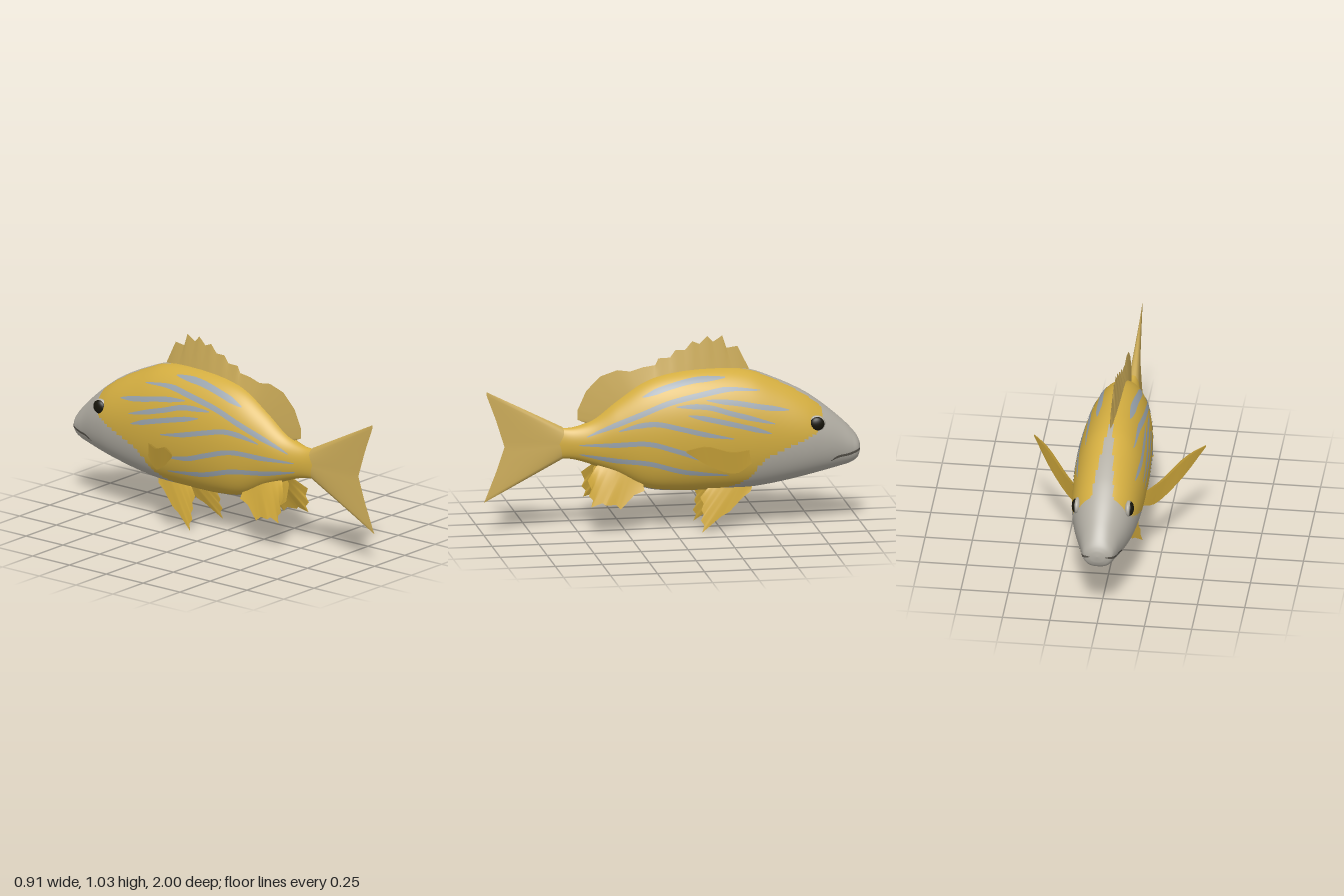
import * as THREE from 'three';

const mat = (name, color, side = THREE.FrontSide) => {
  const m = new THREE.MeshStandardMaterial({ color, side });
  m.name = name;
  return m;
};
const V = (x, y, z) => new THREE.Vector3(x, y, z);

// Body stations: z, top y, bottom y, half width (head at -z)
const STATIONS = [
  [-1, 0.43, 0.385, 0.03], [-0.985, 0.465, 0.35, 0.07], [-0.95, 0.51, 0.325, 0.088], [-0.9, 0.56, 0.31, 0.105],
  [-0.8, 0.645, 0.287, 0.142], [-0.7, 0.715, 0.265, 0.168], [-0.55, 0.79, 0.235, 0.184], [-0.4, 0.845, 0.215, 0.19],
  [-0.2, 0.86, 0.21, 0.188], [0, 0.845, 0.212, 0.174], [0.15, 0.8, 0.232, 0.15], [0.3, 0.7, 0.31, 0.112],
  [0.42, 0.605, 0.362, 0.075], [0.52, 0.568, 0.395, 0.048], [0.6, 0.568, 0.403, 0.03], [0.7, 0.59, 0.39, 0.012],
];

// Smooth interpolation of a table by its first column
function sample(table, t, col) {
  const n = table.length;
  let i = 0;
  while (i < n - 2 && t > table[i + 1][0]) i++;
  const slope = k => {
    const a = table[Math.max(k - 1, 0)], b = table[Math.min(k + 1, n - 1)];
    return (b[col] - a[col]) / (b[0] - a[0]);
  };
  const h = table[i + 1][0] - table[i][0];
  const u = THREE.MathUtils.clamp((t - table[i][0]) / h, 0, 1), u2 = u * u, u3 = u2 * u;
  return (2 * u3 - 3 * u2 + 1) * table[i][col] + (u3 - 2 * u2 + u) * h * slope(i)
    + (3 * u2 - 2 * u3) * table[i + 1][col] + (u3 - u2) * h * slope(i + 1);
}

// Half width of the flank at height fraction f; the belly is fuller than the back
const girth = f => Math.pow(2 * Math.sqrt(Math.max(f * (1 - f), 0)), f < 0.5 ? 0.75 : 1);
function flankX(z, y) {
  const top = sample(STATIONS, z, 1), bottom = sample(STATIONS, z, 2);
  return sample(STATIONS, z, 3) * girth((y - bottom) / (top - bottom));
}

// Edge between silver head and yellow flank: y, z
const HEAD_EDGE = [[0.2, -0.12], [0.24, -0.3], [0.3, -0.4], [0.36, -0.44], [0.41, -0.5], [0.45, -0.59], [0.49, -0.68], [0.53, -0.76], [0.6, -0.79], [0.7, -0.78], [0.9, -0.78]];

// True where the body is silver: head, forehead strip and belly
function isSilver(x, y, z) {
  if (z < sample(HEAD_EDGE, y, 1)) return true;
  if (z < -0.38 && y > 0.6 && Math.abs(x) < 0.055 * (-0.3 - z) / 0.45) return true;
  return z < 0.25 && y < 0.45 && Math.abs(x) < 0.06;
}

function bodyGeometry() {
  const NZ = 130, NR = 88, pos = [], faces = [[], []];
  for (let i = 0; i <= NZ; i++) {
    const z = -1 + 1.7 * Math.pow(i / NZ, 1.35);
    const top = sample(STATIONS, z, 1), bottom = sample(STATIONS, z, 2), w = sample(STATIONS, z, 3);
    for (let j = 0; j < NR; j++) {
      const a = j / NR * Math.PI * 2, f = (1 - Math.cos(a)) / 2;
      const x = Math.sign(Math.sin(a)) * w * girth(f), y = bottom + (top - bottom) * f;
      pos.push(i ? x : 0, i ? y : 0.41, z);
    }
  }
  for (let i = 0; i < NZ; i++) for (let j = 0; j < NR; j++) {
    const k = (j + 1) % NR, a = i * NR + j, b = i * NR + k, c = a + NR, d = b + NR;
    const mid = n => (pos[a * 3 + n] + pos[b * 3 + n] + pos[c * 3 + n] + pos[d * 3 + n]) / 4;
    faces[isSilver(mid(0), mid(1), mid(2)) ? 1 : 0].push(a, b, c, b, d, c);
  }
  const g = new THREE.BufferGeometry();
  g.setAttribute('position', new THREE.Float32BufferAttribute(pos, 3));
  g.setIndex(faces.flat());
  let start = 0;
  faces.forEach((f, m) => { g.addGroup(start, f.length, m); start += f.length; });
  g.computeVertexNormals();
  return g;
}

// Grid of quads from a point function p(u, v)
function sheet(p, nu, nv) {
  const pos = [], idx = [];
  for (let i = 0; i <= nu; i++) for (let j = 0; j <= nv; j++) pos.push(...p(i / nu, j / nv).toArray());
  for (let i = 0; i < nu; i++) for (let j = 0; j < nv; j++) {
    const a = i * (nv + 1) + j, c = a + nv + 1;
    idx.push(a, a + 1, c, a + 1, c + 1, c);
  }
  const g = new THREE.BufferGeometry();
  g.setAttribute('position', new THREE.Float32BufferAttribute(pos, 3));
  g.setIndex(idx);
  g.computeVertexNormals();
  return g;
}

// Painted band hugging the flank along (z, y) points, tapered at both ends
function bandGeometry(points, width, side) {
  const curve = new THREE.SplineCurve(points.map(p => new THREE.Vector2(...p)));
  return sheet((u, v) => {
    const p = curve.getPoint(u), t = curve.getTangent(u);
    const w = width * (v - 0.5) * Math.min(1, 0.15 + 4 * Math.min(u, 1 - u));
    const z = p.x - t.y * w, y = p.y + t.x * w;
    return V(side * (flankX(z, y) + 0.003), y, z);
  }, 32, 4);
}

// Position along a polyline, each segment taking an equal share of u
function along(points, u) {
  const s = u * (points.length - 1), i = Math.min(Math.floor(s), points.length - 2);
  return points[i].clone().lerp(points[i + 1], s - i);
}

// Closed fin between a root line and an outer edge, thinning towards every rim
function finGeometry(root, edge, thick, side = 1) {
  return [1, -1].map(face => sheet((u, v) => {
    const p = along(root, u).lerp(along(edge, u), v);
    const bulge = thick * (1 - v) * Math.sqrt(Math.max(Math.sin(Math.PI * u), 0));
    p.x = (p.x + face * bulge) * side;
    return p;
  }, (edge.length - 1) * 4, 6));
}

// Adds a notch between neighbouring tips
function spiny(tips, centre, depth) {
  return tips.flatMap((p, i) => i === tips.length - 1 ? [p]
    : [p, p.clone().lerp(tips[i + 1], 0.35).lerp(centre, depth)]);
}

export function createModel() {
  const yellow = mat('flank yellow', 0xd3ad40), silver = mat('head silver', 0xb1ada3);
  const black = mat('eye black', 0x17150b);
  const mouth = mat('mouth grey', 0x5a564e, THREE.DoubleSide);
  const blue = mat('stripe blue', 0x98a2ab, THREE.DoubleSide);
  const finYellow = mat('fin yellow', 0xd3ab3c, THREE.DoubleSide);
  const finTan = mat('fin tan', 0xcbab58, THREE.DoubleSide);

  const model = new THREE.Group();
  const add = (name, geo, m) => {
    const mesh = new THREE.Mesh(geo, m);
    mesh.name = name;
    model.add(mesh);
    return mesh;
  };
  const addFin = (name, m, ...args) => finGeometry(...args).forEach(g => add(name, g, m));

  add('body', bodyGeometry(), [yellow, silver]);

  // Flank stripes as (z, y) paths
  const stripes = [
    [[0.46, 0.525], [0.35, 0.575], [0.19, 0.645], [0.03, 0.71], [-0.16, 0.752], [-0.29, 0.77], [-0.45, 0.757]],
    [[0.17, 0.735], [0.05, 0.78], [-0.1, 0.815], [-0.27, 0.825]],
    [[-0.16, 0.72], [-0.32, 0.70], [-0.45, 0.675], [-0.6, 0.65]],
    [[0.0, 0.69], [-0.16, 0.685], [-0.3, 0.645], [-0.52, 0.585]],
    [[-0.06, 0.645], [-0.2, 0.615], [-0.36, 0.575], [-0.5, 0.535]],
    [[0.3, 0.56], [0.2, 0.59], [0.1, 0.6], [-0.02, 0.575], [-0.16, 0.54], [-0.3, 0.515]],
    [[0.5, 0.48], [0.33, 0.485], [0.15, 0.495], [0.0, 0.455], [-0.14, 0.41], [-0.3, 0.395]],
    [[0.5, 0.43], [0.32, 0.40], [0.14, 0.385], [-0.05, 0.335], [-0.28, 0.31]],
  ];

  for (const s of [1, -1]) {
    const label = s > 0 ? 'left' : 'right';
    stripes.forEach(p => add(label + 'Stripe', bandGeometry(p, 0.027, s), blue));
    add(label + 'Mouth', bandGeometry([[-0.83, 0.355], [-0.87, 0.376], [-0.93, 0.384], [-0.98, 0.4], [-0.997, 0.408]], 0.013, s), mouth);

    // Eye in a low rim
    const ball = new THREE.SphereGeometry(1, 20, 14);
    const rim = add(label + 'EyeRim', ball, silver);
    rim.position.set(s * 0.135, 0.567, -0.75);
    rim.scale.set(0.02, 0.043, 0.046);
    const eye = add(label + 'Eye', ball, black);
    eye.position.set(s * 0.144, 0.567, -0.75);
    eye.scale.set(0.02, 0.037, 0.039);

    // Pectoral fin swept back and out
    const upper = new THREE.CatmullRomCurve3([V(0.17, 0.45, -0.4), V(0.25, 0.457, -0.28), V(0.37, 0.522, -0.12), V(0.455, 0.525, 0)]);
    const lower = new THREE.CatmullRomCurve3([V(0.17, 0.375, -0.4), V(0.225, 0.337, -0.31), V(0.34, 0.4, -0.16), V(0.455, 0.515, 0)]);
    addFin(label + 'PectoralFin', finYellow, upper.getPoints(10), lower.getPoints(10), 0.008, s);

    // Pelvic fin
    const pelvicTips = spiny([V(0.07, 0.2, -0.41), V(0.1, 0.1, -0.29), V(0.137, 0.003, -0.14), V(0.125, 0.065, -0.135),
      V(0.113, 0.12, -0.14), V(0.1, 0.185, -0.135)], V(0.06, 0.25, -0.34), 0.07);
    addFin(label + 'PelvicFin', finYellow, [V(0.05, 0.26, -0.43), V(0.06, 0.27, -0.22)], pelvicTips, 0.014, s);

    // Rear belly fin
    const rearTips = spiny([V(0.09, 0.23, 0.16), V(0.115, 0.14, 0.29), V(0.12, 0.165, 0.37), V(0.125, 0.16, 0.45),
      V(0.115, 0.22, 0.46), V(0.1, 0.3, 0.465)], V(0.06, 0.32, 0.3), 0.1);
    addFin(label + 'RearBellyFin', finYellow, [V(0.06, 0.3, 0.17), V(0.05, 0.34, 0.3), V(0.035, 0.37, 0.4)], rearTips, 0.014, s);
  }

  // Dorsal fin: spiny front, rounded soft rear
  const spines = spiny([[0.97, -0.35], [1.03, -0.27], [1.03, -0.19], [1.005, -0.11], [0.96, -0.02], [0.92, 0.07], [0.875, 0.155]]
    .map(([y, z]) => V(0, y, z)), V(0, 0.7, -0.02), 0.1);
  const soft = [[0.855, 0.22], [0.865, 0.29], [0.835, 0.38], [0.76, 0.455], [0.66, 0.5], [0.605, 0.5], [0.585, 0.45]]
    .map(([y, z]) => V(0, y, z));
  const dorsalRoot = [];
  for (let i = 0; i <= 20; i++) {
    const z = -0.42 + 0.86 * i / 20;
    dorsalRoot.push(V(0, sample(STATIONS, z, 1) - 0.03, z));
  }
  addFin('dorsalFin', finTan, dorsalRoot, [V(0, 0.85, -0.41), ...spines, ...soft], 0.026);

  // Small middle fin under the tail root
  addFin('analFin', finYellow, [V(0, 0.25, 0.14), V(0, 0.37, 0.4)], [V(0, 0.21, 0.16), V(0, 0.165, 0.3), V(0, 0.24, 0.4), V(0, 0.34, 0.42)], 0.014);

  // Forked tail
  addFin('tailFin', finTan, [V(0, 0.57, 0.58), V(0, 0.485, 0.56), V(0, 0.4, 0.58)],
    [[0.775, 0.985], [0.755, 0.985], [0.62, 0.935], [0.475, 0.89], [0.34, 0.935], [0.2, 0.99], [0.178, 1]].map(([y, z]) => V(0, y, z)), 0.034);

  return model;
}
